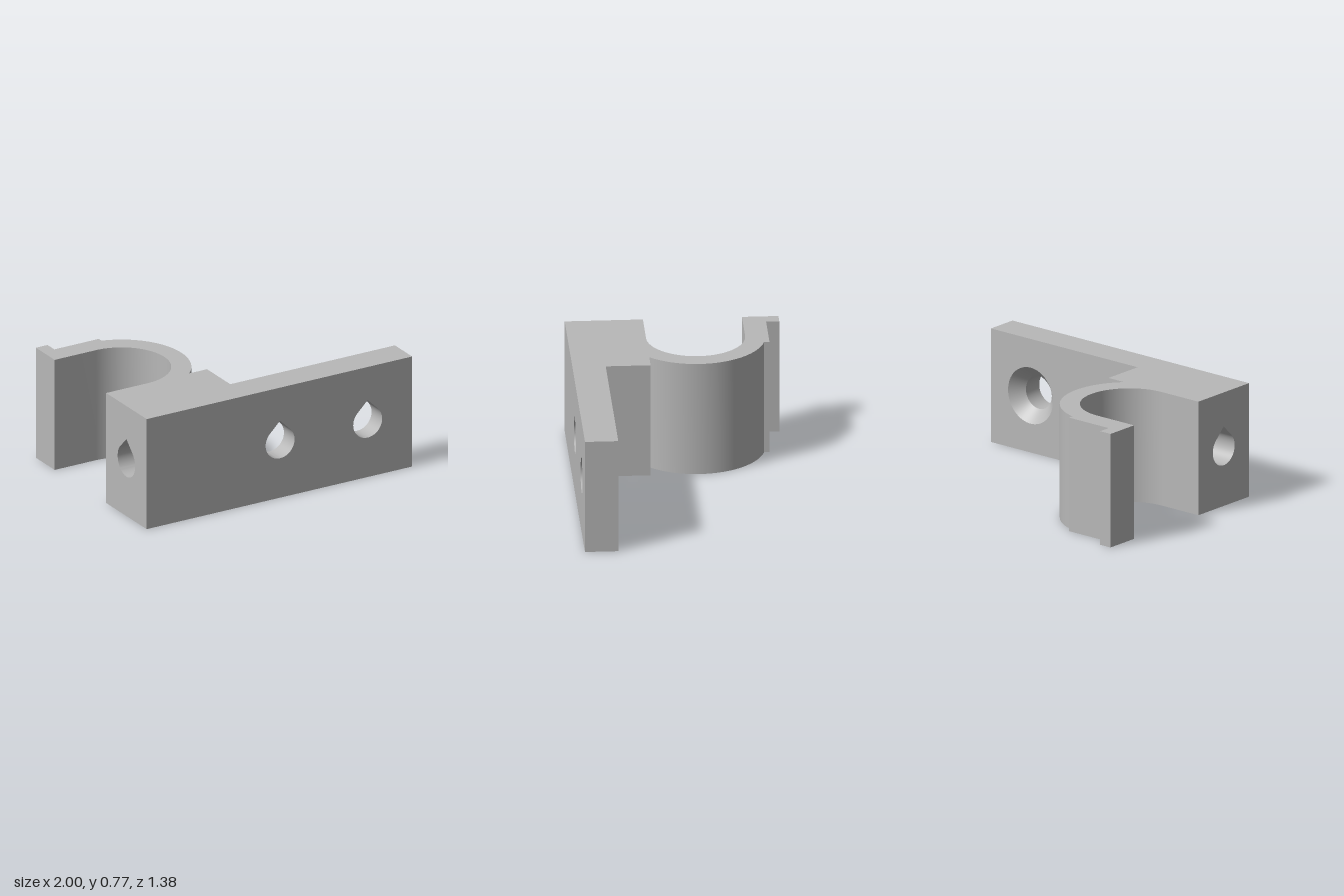
import * as THREE from 'three';
import { toCreasedNormals } from 'three/addons/utils/BufferGeometryUtils.js';

const H = 0.77, MID = H / 2;              // height and hole axis height
const FRONT = 0.69, PLATE_BACK = 0.475, BLOCK_BACK = 0.185;
const LEFT = -1, STEP = -0.24, RIGHT = 1; // x limits of block and plate
const R = 0.109, SINK_R = 0.19, SINK_D = 0.083;
const HOLES = [0.005, 0.665];
const SEG = 64;

// Teardrop radius by angle: a circle with a 90 degree peak on top
const teardrop = (t) =>
  t > Math.PI / 4 && t < 3 * Math.PI / 4 ? R / Math.max(Math.cos(t - Math.PI / 4), Math.cos(t - 3 * Math.PI / 4)) : R;
const circle = () => SINK_R;
const angle = (i) => ((i % SEG) / SEG) * Math.PI * 2;

function outline(cx, cy, radius) {
  const pts = [];
  for (let i = 0; i < SEG; i++) {
    const t = angle(i);
    pts.push(new THREE.Vector2(cx + radius(t) * Math.cos(t), cy + radius(t) * Math.sin(t)));
  }
  return new THREE.Path(pts);
}

function rect(x0, x1) {
  return new THREE.Shape([[x0, 0], [x1, 0], [x1, H], [x0, H]].map(([x, y]) => new THREE.Vector2(x, y)));
}

// Plate face with its holes; side is 1 for the front, -1 for the back
function plateFace(side, radius) {
  const shape = rect(Math.min(side * STEP, side * RIGHT), Math.max(side * STEP, side * RIGHT));
  HOLES.forEach((x) => shape.holes.push(outline(side * x, MID, radius)));
  const geo = new THREE.ShapeGeometry(shape);
  if (side < 0) geo.rotateY(Math.PI);
  return geo.translate(0, 0, side > 0 ? FRONT : PLATE_BACK);
}

// Countersink cone running into a teardrop bore, as three rings
function boreGeometry(cx) {
  const pos = [], idx = [];
  for (let k = 0; k < 3; k++) {
    for (let i = 0; i < SEG; i++) {
      const t = angle(i), inner = teardrop(t);
      const r = k === 0 ? SINK_R : inner;
      const coneZ = PLATE_BACK + SINK_D * (SINK_R - inner) / (SINK_R - R);
      pos.push(cx + r * Math.cos(t), MID + r * Math.sin(t), [PLATE_BACK, coneZ, FRONT][k]);
      if (k < 2) {
        const a = k * SEG + i, b = k * SEG + (i + 1) % SEG;
        idx.push(a, b + SEG, b, a, a + SEG, b + SEG);
      }
    }
  }
  const geo = new THREE.BufferGeometry();
  geo.setAttribute('position', new THREE.Float32BufferAttribute(pos, 3));
  geo.setIndex(idx);
  return toCreasedNormals(geo, 0.5);
}

export function createModel() {
  const model = new THREE.Group();
  model.name = 'pipeClip';
  const grey = new THREE.MeshStandardMaterial({ color: 0xb8b8b8 });
  grey.name = 'grey';
  const add = (name, geo, parent = model) => {
    const mesh = new THREE.Mesh(geo, grey);
    mesh.name = name;
    parent.add(mesh);
  };

  // Mounting plate: faces with holes, a rim and the countersunk bores
  const plate = new THREE.Group();
  plate.name = 'mountingPlate';
  model.add(plate);
  add('plateFront', plateFace(1, teardrop), plate);
  add('plateBack', plateFace(-1, circle), plate);
  const rim = new THREE.BoxGeometry(RIGHT - STEP, H, FRONT - PLATE_BACK);
  rim.setIndex(Array.from(rim.index.array).slice(0, 24)); // leave out front and back
  rim.clearGroups();
  add('plateRim', rim.translate((RIGHT + STEP) / 2, MID, (FRONT + PLATE_BACK) / 2), plate);
  HOLES.forEach((x) => add('screwHole', boreGeometry(x), plate));

  // Block with a blind teardrop hole in its outer end
  const depth = 0.5;
  const end = rect(BLOCK_BACK, FRONT);
  end.holes.push(outline(0.4375, MID, teardrop));
  const endGeo = new THREE.ExtrudeGeometry(end, { depth, bevelEnabled: false });
  endGeo.rotateY(-Math.PI / 2).translate(LEFT + depth, 0, 0);
  add('drilledBlock', toCreasedNormals(endGeo, 0.5));
  const x0 = LEFT + depth;
  const core = new THREE.BoxGeometry(STEP - x0, H, FRONT - BLOCK_BACK);
  add('solidBlock', core.translate((x0 + STEP) / 2, MID, (FRONT + BLOCK_BACK) / 2));

  // Curved clip arm with a stepped, lipped end
  const cx = -0.69, cy = 0.135;
  const clip = new THREE.Shape();
  clip.moveTo(cx, -BLOCK_BACK);
  clip.absarc(cx, cy, 0.32, -Math.PI / 2, Math.PI / 2, false);
  [[LEFT, 0.455], [LEFT, 0.69], [-0.912, 0.69], [-0.912, 0.605], [-0.577, 0.605]].forEach(([x, y]) => clip.lineTo(x, y));
  clip.absarc(cx, cy, 0.45, Math.atan2(0.4355, 0.113), Math.atan2(-0.32, 0.3164), true);
  clip.closePath();
  const clipGeo = new THREE.ExtrudeGeometry(clip, { depth: H, bevelEnabled: false, curveSegments: 48 });
  add('clipArm', toCreasedNormals(clipGeo.rotateX(-Math.PI / 2), 0.5));

  return model;
}
